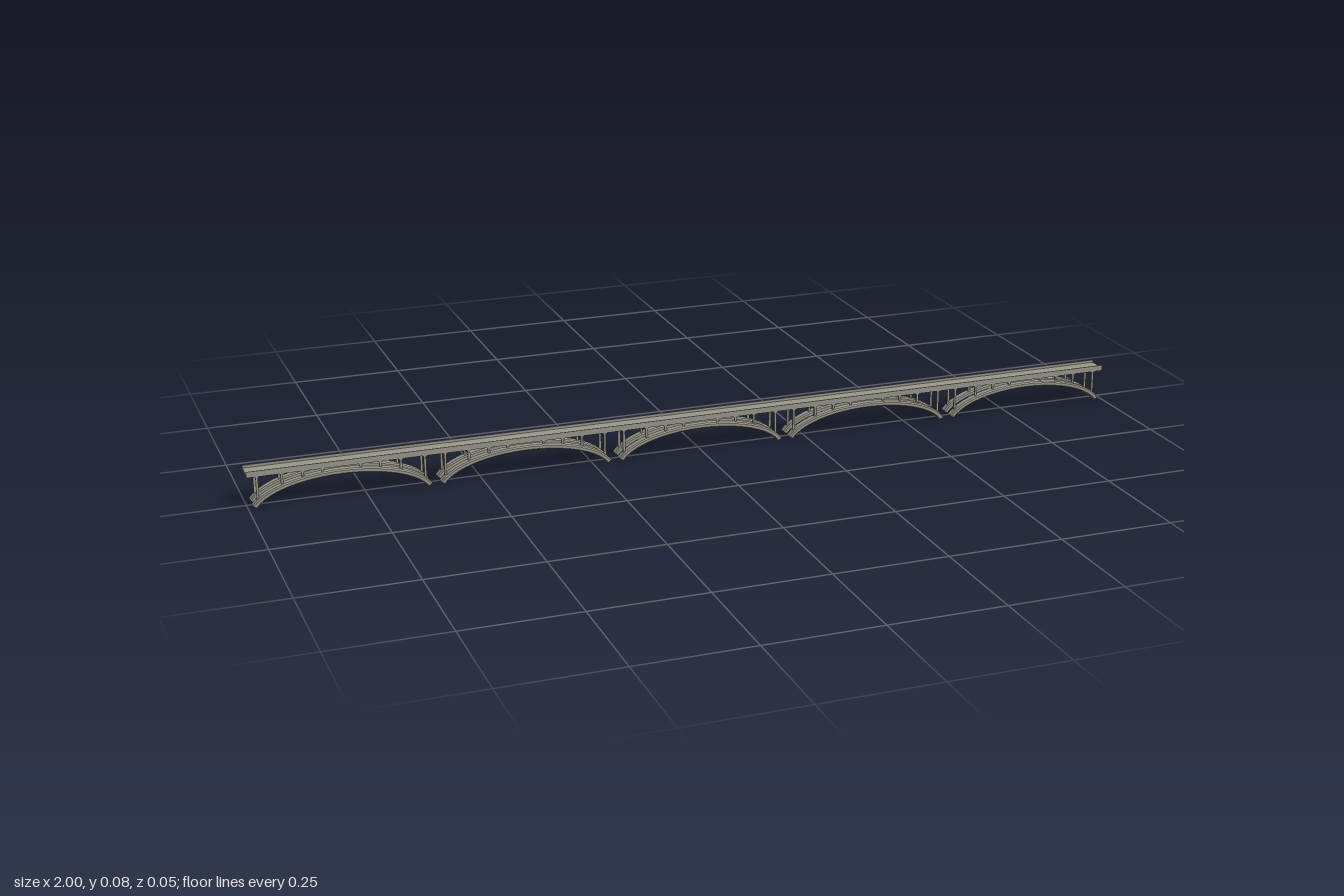
import * as THREE from 'three';

const SPANS = 5, PITCH = 0.4, RIB_Z = 0.0172;
const ARCH = { half: 0.186, foot: 0.0035, crown: 0.058, sweep: 1.309 };
const A = ARCH.half / Math.sin(ARCH.sweep);
const B = (ARCH.crown - ARCH.foot) / (1 - Math.cos(ARCH.sweep));

// Height of the arch centreline at offset x from midspan
const archY = (x) => ARCH.crown - B * (1 - Math.sqrt(1 - (x / A) ** 2));

// Chamfered rib section swept along a flattened elliptical arc
function ribGeometry(segments = 20) {
  const w = 0.0095, h = 0.0055, c = 0.0025;
  const section = [[w, h - c], [w - c, h], [c - w, h], [-w, h - c],
    [-w, c - h], [c - w, -h], [w - c, -h], [w, c - h]];
  const n = section.length, pos = [], idx = [];
  for (let i = 0; i <= segments; i++) {
    const t = (i / segments * 2 - 1) * ARCH.sweep;
    const normal = new THREE.Vector2(B * Math.sin(t), A * Math.cos(t)).normalize();
    const x = A * Math.sin(t), y = ARCH.crown - B * (1 - Math.cos(t));
    for (const [z, d] of section) pos.push(x + normal.x * d, y + normal.y * d, z);
  }
  for (let i = 0; i < segments; i++) {
    for (let j = 0; j < n; j++) {
      const a = i * n + j, b = i * n + (j + 1) % n;
      idx.push(a, a + n, b, b, a + n, b + n);
    }
  }
  // End caps
  const last = segments * n;
  for (let j = 1; j < n - 1; j++) {
    idx.push(0, j, j + 1, last, last + j + 1, last + j);
  }
  const g = new THREE.BufferGeometry();
  g.setAttribute('position', new THREE.Float32BufferAttribute(pos, 3));
  g.setIndex(idx);
  g.computeVertexNormals();
  return g;
}

export function createModel() {
  const model = new THREE.Group();
  model.name = 'archBridge';
  const stone = new THREE.MeshStandardMaterial({
    color: 0x9a988c, flatShading: true, side: THREE.DoubleSide });

  const box = (parent, name, w, h, d, x, y, z) => {
    const m = new THREE.Mesh(new THREE.BoxGeometry(w, h, d), stone);
    m.name = name;
    m.position.set(x, y, z);
    parent.add(m);
  };

  // Continuous roadway with a low parapet along each edge
  box(model, 'deck', 2, 0.007, 0.043, 0, 0.0725, 0);
  for (const s of [-1, 1]) {
    box(model, 'parapet', 2, 0.013, 0.0018, 0, 0.0755, s * 0.0212);
  }

  // Twin-rib arches with spandrel columns
  const ribGeo = ribGeometry();
  for (let i = 0; i < SPANS; i++) {
    const span = new THREE.Group();
    span.name = 'span';
    span.position.x = (i - (SPANS - 1) / 2) * PITCH;
    model.add(span);
    for (const side of [-1, 1]) {
      const z = side * RIB_Z;
      const rib = new THREE.Mesh(ribGeo, stone);
      rib.name = 'archRib';
      rib.position.z = z;
      span.add(rib);
      for (const offset of [0.178, 0.126, 0.082, 0.04]) {
        const base = archY(offset), top = 0.0695;
        for (const s of [-1, 1]) {
          box(span, 'column', 0.005, top - base, 0.004, s * offset, (top + base) / 2, z);
          box(span, 'columnCap', 0.008, 0.003, 0.006, s * offset, 0.068, z);
        }
      }
    }
  }
  return model;
}
